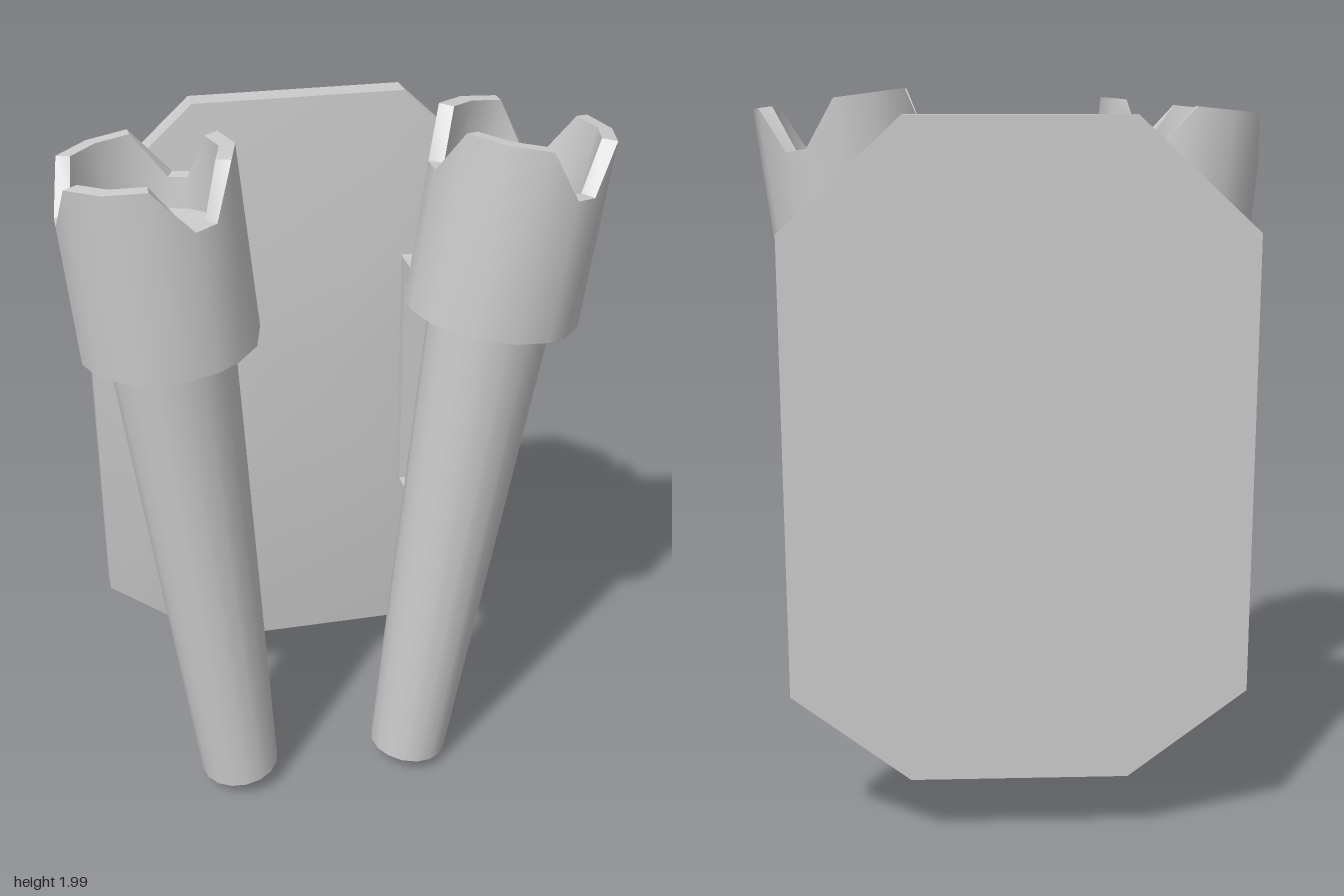
import * as THREE from 'three';
import { toCreasedNormals } from 'three/addons/utils/BufferGeometryUtils.js';

const material = new THREE.MeshStandardMaterial({ color: 0xcccccc });
const rad = THREE.MathUtils.degToRad;

// Skin a series of closed rings that all have the same number of points
function loft(rings) {
  const n = rings[0].length, index = [];
  for (let i = 0; i < rings.length - 1; i++) {
    for (let j = 0; j < n; j++) {
      const a = i * n + j, b = i * n + (j + 1) % n;
      index.push(a, b, b + n, a, b + n, a + n);
    }
  }
  const geometry = new THREE.BufferGeometry();
  geometry.setAttribute('position', new THREE.Float32BufferAttribute(rings.flat(2), 3));
  geometry.setIndex(index);
  return toCreasedNormals(geometry, 0.6);
}

function addMesh(parent, name, geometry) {
  const mesh = new THREE.Mesh(geometry, material);
  mesh.name = name;
  parent.add(mesh);
  return mesh;
}

// Octagonal wall plate with a shallow raised front
function plateGeometry() {
  const corners = [[0.605, -0.63], [0.605, 0.58], [0.29, 0.87], [-0.29, 0.87],
    [-0.605, 0.58], [-0.605, -0.63], [-0.29, -0.87], [0.29, -0.87]];
  const ring = (sx, sy, z) => corners.map(([x, y]) => [x * sx - 0.005, 1.05 + y * sy, z]);
  return loft([ring(0, 0, -0.375), ring(1, 1, -0.375), ring(1, 1, -0.303),
    ring(0.63, 0.46, -0.257), ring(0, 0, -0.257)]);
}

// Hollow cup whose rim has three V-shaped notches
function cupGeometry() {
  const bottom = 1.45, top = 1.937, notchDepth = 0.12;
  const angles = [], rim = [];
  for (const centre of [30, 150, 270]) {
    for (const offset of [-32, -8, 8, 32, 60]) {
      angles.push(rad(centre + offset));
      rim.push(Math.abs(offset) < 10 ? top - notchDepth : top);
    }
  }
  const ring = (r, y) => angles.map((a, i) =>
    [r * Math.sin(a), y ?? rim[i], r * Math.cos(a)]);
  return loft([ring(0, bottom), ring(0.23, bottom), ring(0.228), ring(0.188),
    ring(0.178, top - 0.2), ring(0, top - 0.2)]);
}

// Tapered shaft with a blunt conical tip
function shaftGeometry() {
  const profile = [[0, 0], [0.02, 0], [0.112, 0.045], [0.163, 1.46]]
    .map(([r, y]) => new THREE.Vector2(r, y));
  return toCreasedNormals(new THREE.LatheGeometry(profile, 16), 0.5);
}

// C-shaped bracket: a back bar on the plate and two arms reaching the shaft
function makeBracket(name, x, low, high) {
  const bracket = new THREE.Group();
  bracket.name = name;
  const width = 0.095, t = 0.06;
  addMesh(bracket, 'bracketBar', new THREE.BoxGeometry(width, high - low, 0.04))
    .position.set(x, (low + high) / 2, -0.24);
  for (const [arm, y] of [['upperArm', high - t / 2], ['lowerArm', low + t / 2]]) {
    addMesh(bracket, arm, new THREE.BoxGeometry(width, t, 0.32)).position.set(x, y, -0.1);
  }
  return bracket;
}

export function createModel() {
  const model = new THREE.Group();
  model.name = 'wallTorches';
  addMesh(model, 'wallPlate', plateGeometry());

  // Two torches leaning outward by slightly different amounts
  const shaft = shaftGeometry(), cup = cupGeometry();
  const torches = [
    { side: 'left', x: 0.215, y: 0, tilt: -7.6, stretch: 1.02 },
    { side: 'right', x: -0.29, y: 0.01, tilt: 5.6, stretch: 1 },
  ];
  for (const { side, x, y, tilt, stretch } of torches) {
    const torch = new THREE.Group();
    torch.name = side + 'Torch';
    addMesh(torch, 'shaft', shaft);
    addMesh(torch, 'cup', cup);
    torch.position.set(x, y, 0.145);
    torch.rotation.z = rad(tilt);
    torch.scale.y = stretch;
    model.add(torch);
  }

  model.add(makeBracket('leftBracket', 0.323, 0.69, 1.46));
  model.add(makeBracket('rightBracket', -0.35, 0.67, 1.5));
  return model;
}
